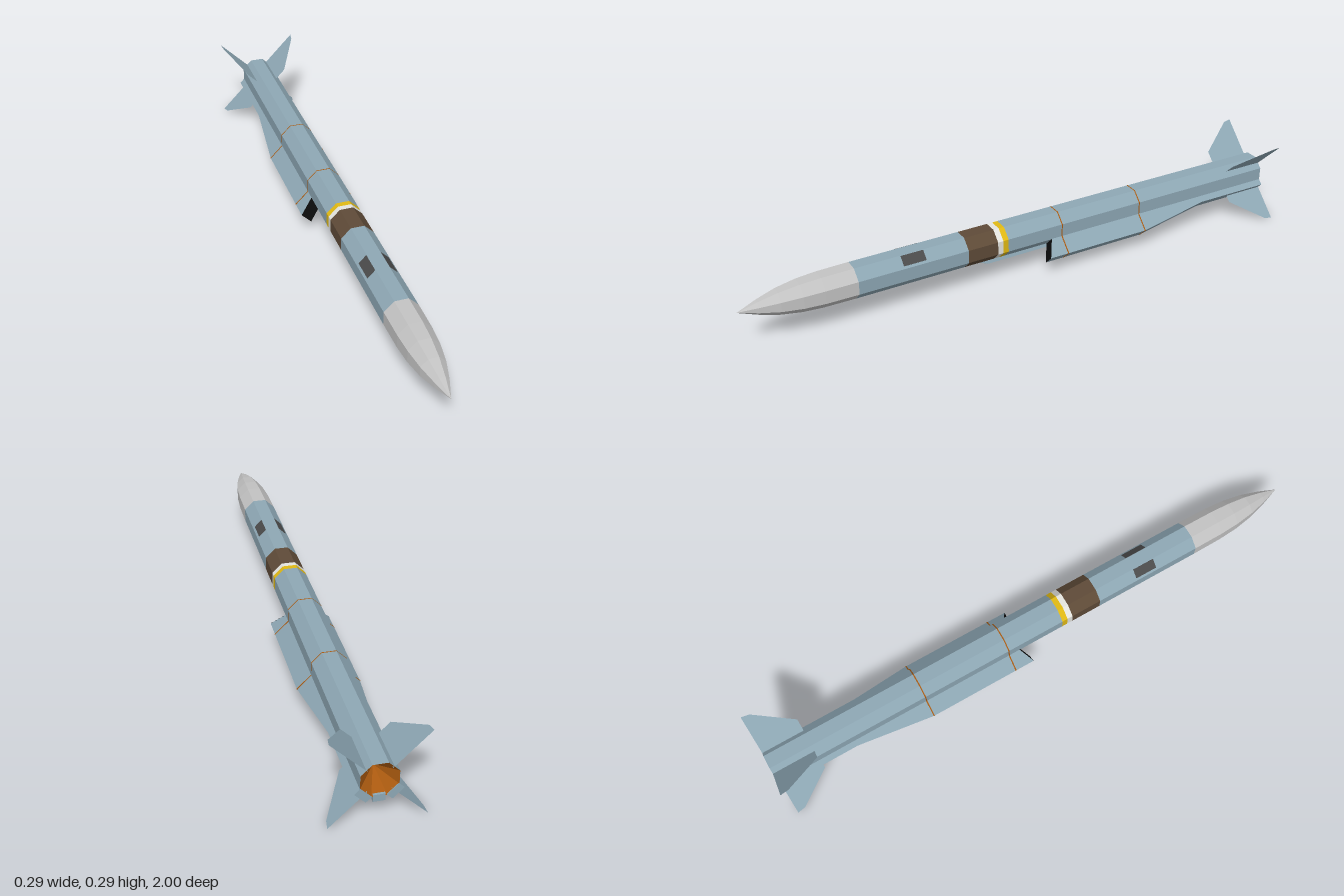
import * as THREE from 'three';

const CY = 0.147;                 // height of the body axis
const AP = 0.0562;                // distance from axis to a flat of the octagon
const R = AP / Math.cos(Math.PI / 8);

function mat(name, color, double = false) {
  const m = new THREE.MeshStandardMaterial({ color });
  m.name = name;
  if (double) m.side = THREE.DoubleSide;
  return m;
}

export function createModel() {
  const group = new THREE.Group();
  const blue = mat('blue grey paint', 0x8ea8b5, true);
  const grey = mat('nose grey', 0xc3c3c3);
  const brown = mat('brown band', 0x5f4b38);
  const white = mat('white band', 0xe6e6e0);
  const yellow = mat('yellow band', 0xe2ba14);
  const dark = mat('dark patch', 0x4b4b4b);
  const black = mat('intake black', 0x0c0c0c);
  const orange = mat('burnt orange', 0xa9590f, true);

  function add(name, geo, material) {
    const flat = geo.index ? geo.toNonIndexed() : geo;
    flat.computeVertexNormals();
    const mesh = new THREE.Mesh(flat, material);
    mesh.name = name;
    group.add(mesh);
    return mesh;
  }

  // Eight-sided section between two z positions, flats facing up and sideways
  function section(name, z0, z1, r0, r1, material) {
    const g = new THREE.CylinderGeometry(r0, r1, z0 - z1, 8, 1, true, Math.PI / 8);
    g.rotateX(Math.PI / 2).translate(0, CY, (z0 + z1) / 2);
    return add(name, g, material);
  }

  // Turns shape x into z and shape y into the outward direction (ox, oy)
  function orient(g, ox, oy) {
    const out = new THREE.Vector3(ox, oy, 0).normalize();
    const along = new THREE.Vector3(0, 0, 1);
    const side = new THREE.Vector3().crossVectors(along, out);
    g.applyMatrix4(new THREE.Matrix4().makeBasis(along, out, side));
    return g.translate(0, CY, 0);
  }

  const shape = pts => new THREE.Shape(pts.map(p => new THREE.Vector2(p[0], p[1])));

  function slab(pts, width) {
    return new THREE.ExtrudeGeometry(shape(pts), { depth: width, bevelEnabled: false })
      .translate(0, 0, -width / 2);
  }

  // Pointed nose
  const nose = [[1, 0], [0.935, 0.4], [0.87, 0.71], [0.8, 0.9], [0.73, 0.98], [0.62, 1]];
  const profile = nose.map(([z, r]) => new THREE.Vector2(r * R, z)).reverse();
  const noseGeo = new THREE.LatheGeometry(profile, 8, Math.PI / 8);
  noseGeo.rotateX(Math.PI / 2).translate(0, CY, 0);
  add('nose', noseGeo, grey);

  // Body and painted bands
  section('frontBody', 0.62, 0.23, R, R, blue);
  section('brownBand', 0.23, 0.12, R, R, brown);
  section('whiteBand', 0.12, 0.1, R, R, white);
  section('yellowBand', 0.1, 0.08, R, R, yellow);
  section('rearBody', 0.08, -1, R, R, blue);

  // Hollow nozzle in the tail
  section('nozzle', -0.93, -1, 0.0005, R * 0.995, orange);

  // Thin joint rings
  const joints = [-0.13, -0.45];
  for (const z of joints) section('jointRing', z + 0.002, z - 0.002, R + 0.0006, R + 0.0006, orange);

  // Keel fairing, narrowing at its front
  const keel = slab([[0.185, 0.05], [0.185, 0.057], [0.14, 0.0735], [-1, 0.0735], [-1, 0.05]], 0.036);
  const kp = keel.attributes.position;
  for (let i = 0; i < kp.count; i++) if (kp.getX(i) > 0.18) kp.setZ(i, kp.getZ(i) * 0.55);
  add('keelFairing', orient(keel, 0, -1), blue);

  for (const s of [-1, 1]) {
    // Air intake duct with a slanted black mouth
    const duct = [[-0.09, 0.054], [-0.06, 0.12], [-0.45, 0.12], [-0.72, 0.078], [-1, 0.078], [-1, 0.054]];
    add('intakeDuct', orient(slab(duct, 0.048), s, -1), blue);
    const mouth = [[-0.091, 0.0545], [-0.061, 0.12], [-0.059, 0.12], [-0.089, 0.0545]];
    add('intakeMouth', orient(slab(mouth, 0.0478), s, -1), black);
    for (const z of joints) {
      const band = [[z - 0.002, 0.055], [z + 0.002, 0.055], [z + 0.002, 0.1206], [z - 0.002, 0.1206]];
      add('ductJoint', orient(slab(band, 0.0492), s, -1), orange);
    }

    // Dark patch on the upper slanted face
    const patch = slab([[0.38, AP - 0.002], [0.46, AP - 0.002], [0.46, AP + 0.0008], [0.38, AP + 0.0008]], 0.036);
    patch.translate(0, 0, -s * 0.004 * -1);
    add('sensorPatch', orient(patch, s, 1), dark);

    // Thin tail fins
    for (const v of [-1, 1]) {
      const fin = [[-0.85, 0.05], [-0.85, 0.103], [-0.972, 0.2], [-1, 0.2055], [-1, 0.05]];
      add('tailFin', orient(new THREE.ShapeGeometry(shape(fin)), s, v), blue);
    }
  }
  return group;
}
